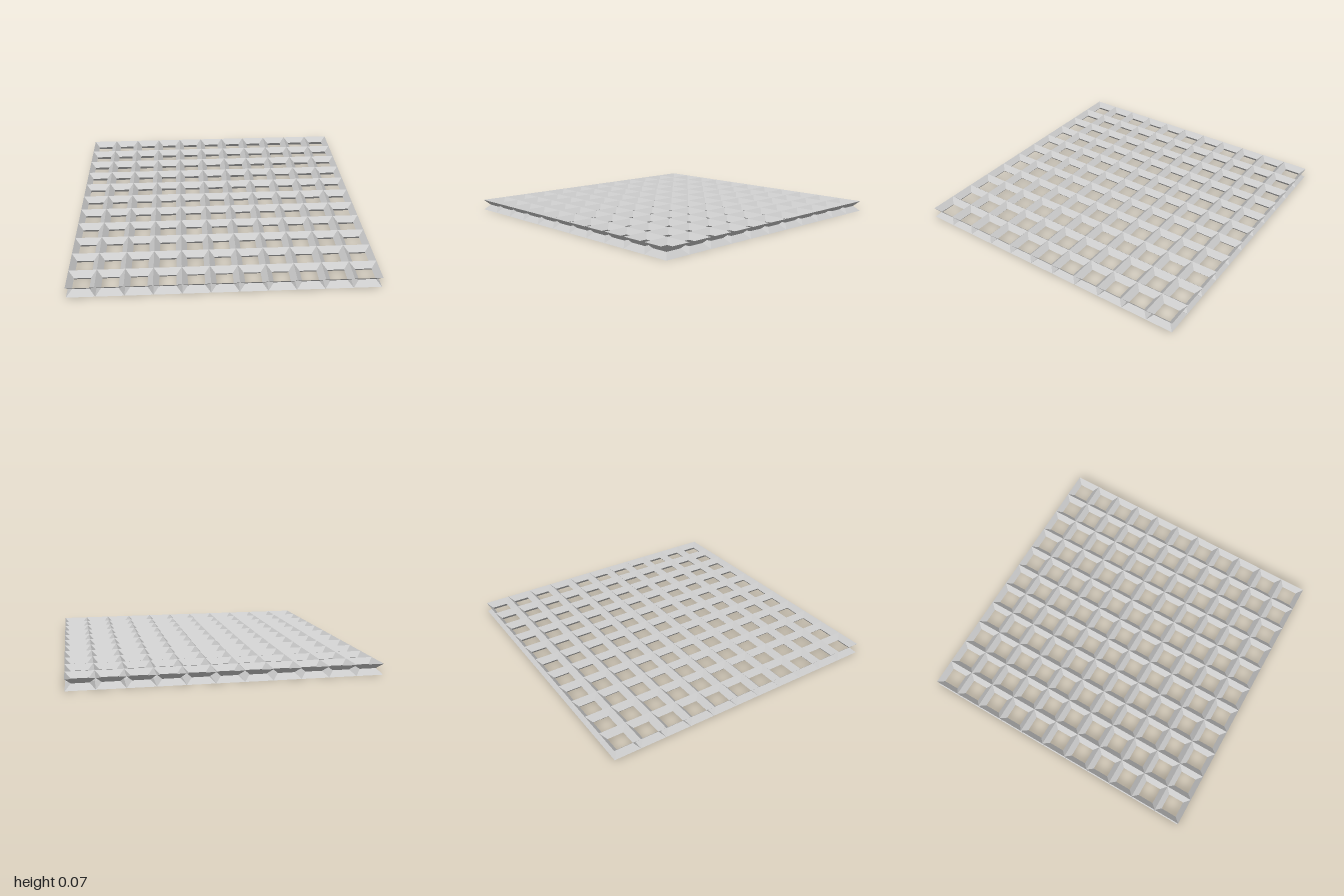
import * as THREE from 'three';

const CELLS = 11;
const CELL = 2 / CELLS;
const WAIST = CELL * 0.2;  // inset of the walls at mid height
const HEIGHT = CELL * 0.4;

export function createModel() {
  const model = new THREE.Group();
  model.name = 'grate';
  const material = new THREE.MeshStandardMaterial({
    color: 0xcccccc, flatShading: true, side: THREE.DoubleSide,
  });

  // One open square cell: wide at the rims, pinched at mid height
  const corner = (half, y) => new THREE.Vector2(half * Math.SQRT2, y);
  const cellGeometry = new THREE.LatheGeometry([
    corner(CELL / 2, 0),
    corner(CELL / 2 - WAIST, HEIGHT / 2),
    corner(CELL / 2, HEIGHT),
  ], 4, Math.PI / 4);

  // Rows of cells, touching along their rims
  for (let r = 0; r < CELLS; r++) {
    const row = new THREE.Group();
    row.name = `cellRow${r + 1}`;
    row.position.z = -1 + (r + 0.5) * CELL;
    for (let c = 0; c < CELLS; c++) {
      const cell = new THREE.Mesh(cellGeometry, material);
      cell.name = `cell${c + 1}`;
      cell.position.x = -1 + (c + 0.5) * CELL;
      row.add(cell);
    }
    model.add(row);
  }
  return model;
}
